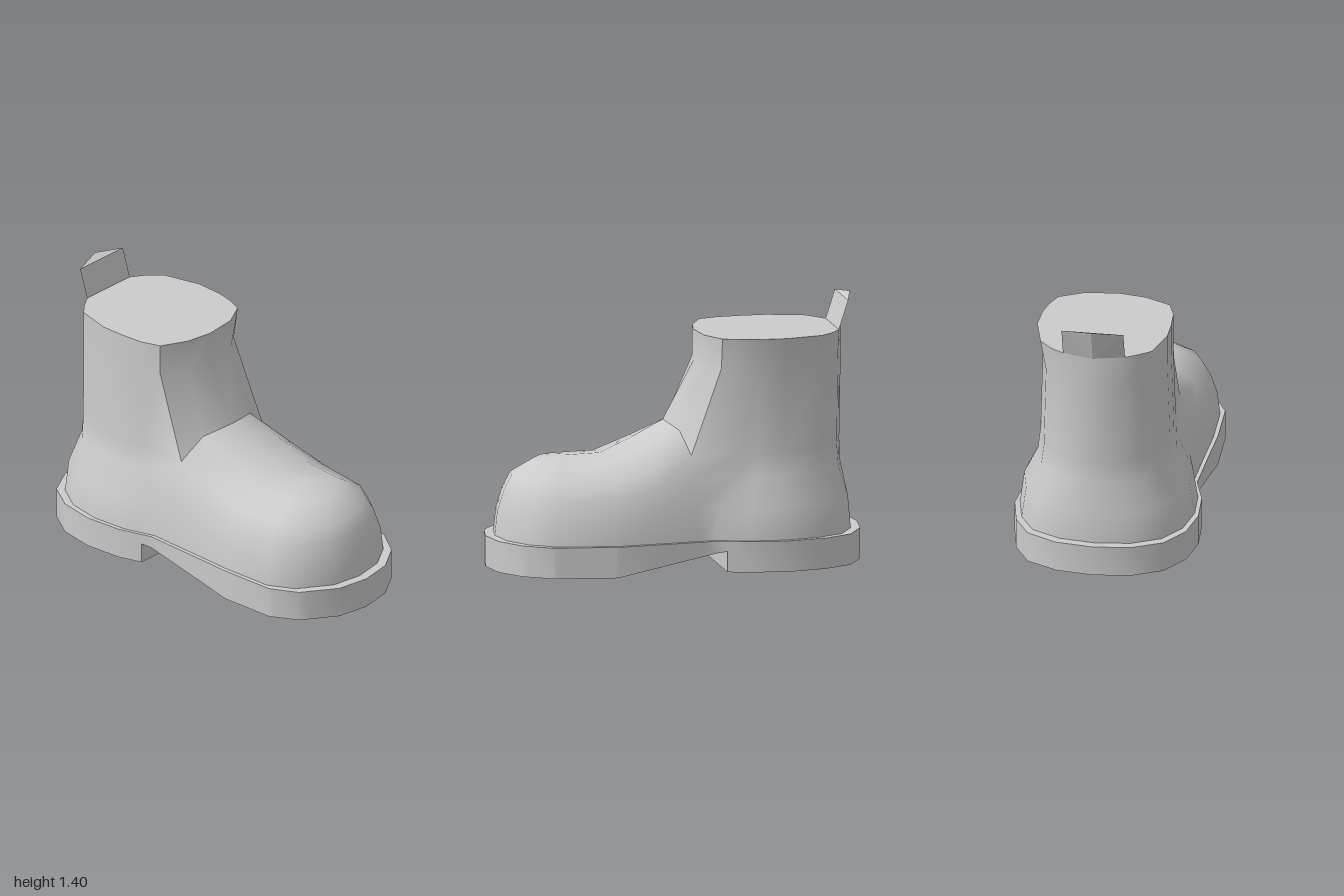
import * as THREE from 'three';
import { toCreasedNormals } from 'three/addons/utils/BufferGeometryUtils.js';
import { ConvexGeometry } from 'three/addons/geometries/ConvexGeometry.js';

const V = (x, y, z) => new THREE.Vector3(x, y, z);
const lerp = THREE.MathUtils.lerp;

// Triangles between successive rows of points, leaving out collapsed ones
function skin(rows, out = []) {
  const tri = (a, b, c) => {
    const area = b.clone().sub(a).cross(c.clone().sub(a)).length();
    if (area > 1e-7) for (const p of [a, b, c]) out.push(p.x, p.y, p.z);
  };
  for (let i = 0; i + 1 < rows.length; i++) {
    for (let j = 0; j + 1 < rows[i].length; j++) {
      const [a, b, c, d] = [rows[i][j], rows[i][j + 1], rows[i + 1][j + 1], rows[i + 1][j]];
      tri(a, b, c);
      tri(a, c, d);
    }
  }
  return out;
}

function creased(positions, angle) {
  const g = new THREE.BufferGeometry();
  g.setAttribute('position', new THREE.Float32BufferAttribute(positions, 3));
  g.computeVertexNormals();
  return toCreasedNormals(g, angle);
}

// Sole outline (x, z): round the toe, then round the heel
const TOE = [[-0.423, -0.07], [-0.43, 0.16], [-0.44, 0.4], [-0.43, 0.7], [-0.355, 0.845], [-0.175, 0.97], [0, 1],
  [0.18, 0.97], [0.33, 0.875], [0.43, 0.73], [0.48, 0.39], [0.455, 0.16], [0.43, -0.07]];
const HEEL = [[0.43, -0.07], [0.42, -0.155], [0.475, -0.34], [0.49, -0.545], [0.45, -0.74], [0.365, -0.89],
  [0.2, -0.975], [0, -1], [-0.2, -0.975], [-0.36, -0.89], [-0.455, -0.74], [-0.49, -0.545], [-0.475, -0.34],
  [-0.42, -0.155], [-0.423, -0.07]];
// Top edge of the shaft, matching the heel points
const COLLAR = [[0.31, -0.21], [0.345, -0.3], [0.365, -0.4], [0.37, -0.545], [0.32, -0.745], [0.25, -0.82],
  [0.18, -0.865], [0.015, -0.91], [-0.15, -0.865], [-0.22, -0.82], [-0.28, -0.77], [-0.33, -0.58],
  [-0.33, -0.45], [-0.32, -0.32], [-0.285, -0.215]];
const COLLAR_FRONT = [[-0.145, -0.145], [0, -0.12], [0.18, -0.14]];

const SOLE_TOP = 0.165, NECK = 1.06, TOP = 1.225, INSET = 0.95;
// Arch of the foot: [distance from the centre line, height]
const ARCH = [[1, 0], [0.965, 0.3], [0.88, 0.56], [0.77, 0.76], [0.45, 0.95], [0, 1]];
// Centre line of the foot (y, z), from the ankle to the toe
const CENTRE = [[0.75, 0.045], [0.665, 0.21], [0.585, 0.38], [0.58, 0.56]];

function soleGeometry() {
  const right = [...HEEL.slice(0, 8).reverse(), ...TOE.slice(6, 12).reverse()];
  const left = [...HEEL.slice(7), ...TOE.slice(1, 7)];
  const xAt = (chain, z) => {
    let i = 0;
    while (i < chain.length - 2 && chain[i + 1][1] < z) i++;
    const [[x0, z0], [x1, z1]] = [chain[i], chain[i + 1]];
    return lerp(x0, x1, (z - z0) / (z1 - z0));
  };
  // Underside height: flat heel, step, arch, flat front
  const arch = z => (z > 0.39 ? 0 : 0.11 * (0.39 - z) / 0.6);
  const zs = [...new Set([...right, ...left].map(p => p[1]))].sort((a, b) => a - b);
  const stations = [
    ...zs.filter(z => z < -0.21).map(z => [z, 0]),
    [-0.21, 0], [-0.21, 0.11],
    ...zs.filter(z => z > -0.21).map(z => [z, arch(z)]),
  ];
  const rows = stations.map(([z, y]) => {
    const r = xAt(right, z), l = xAt(left, z);
    return [V(r, y, z), V(r, SOLE_TOP, z), V(l, SOLE_TOP, z), V(l, y, z), V(r, y, z)];
  });
  return creased(skin(rows), 0.6);
}

export function createModel() {
  const model = new THREE.Group();
  const material = new THREE.MeshStandardMaterial({ color: 0xcccccc });
  const add = (name, geometry) => {
    const mesh = new THREE.Mesh(geometry, material);
    mesh.name = name;
    model.add(mesh);
  };

  add('sole', soleGeometry());

  // Foot: each outline point rises along the arch to the centre line
  const foot = ARCH.map(([f, h]) => TOE.map(([x, z], i) => {
    const [cy, cz] = CENTRE[Math.min(i, 12 - i, 3)];
    return V(x * INSET * f, lerp(SOLE_TOP, cy, h), lerp(cz, z * INSET, f));
  }));

  // Shaft: rings round the heel, drawn in towards the neck, then flared at the top
  const neck = COLLAR.map(([x, z]) => V(x > 0.1 ? x - 0.03 : x, NECK, z));
  const top = COLLAR.map(([x, z]) => V(x, TOP, z));
  const shaft = [0, 0.2, 0.85, 0.97].map((w, r) => HEEL.map(([x, z], j) => {
    if (j === 0) return foot[r][12];
    if (j === 14) return foot[r][0];
    return V(lerp(x * INSET, neck[j].x * 1.03, w), foot[r][0].y, lerp(z * INSET, neck[j].z * 0.99, w));
  }));
  shaft.push(neck, top);
  add('footAndShaft', creased(skin(shaft, skin(foot)), 0.9));

  // Front panel from the ankle fold to the collar
  const fold = [foot[3][0], foot[4][0], foot[5][0], foot[4][12], foot[3][12]];
  const across = (ring, y) => [ring[14], ...COLLAR_FRONT.map(([x, z]) => V(x, y, z)), ring[0]];
  add('shaftFront', creased(skin([fold, across(neck, NECK), across(top, TOP)]), 0.7));

  // Flat closing face at the collar
  const rim = [...COLLAR, ...COLLAR_FRONT].map(([x, z]) => new THREE.Vector2(x, -z));
  add('collarTop', new THREE.ShapeGeometry(new THREE.Shape(rim)).rotateX(-Math.PI / 2).translate(0, TOP, 0));

  // Pull tab: a wedge leaning back from the rear of the collar
  add('pullTab', new ConvexGeometry([
    V(-0.15, TOP, -0.865), V(0.18, TOP, -0.865), V(0.015, TOP, -0.91),
    V(-0.15, 1.38, -0.915), V(0.18, 1.38, -0.915), V(0.015, 1.4, -0.96),
  ]));

  return model;
}
